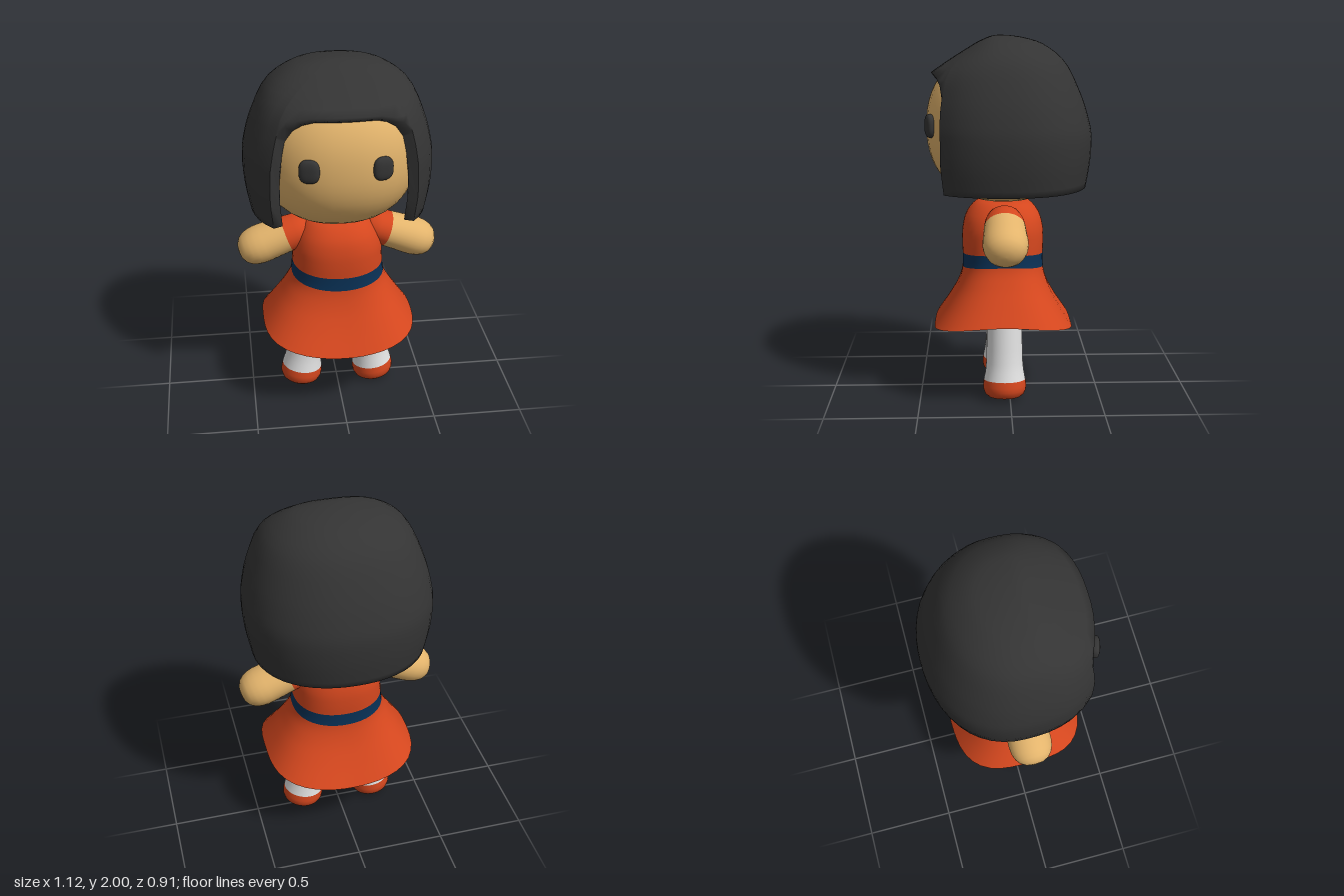
import * as THREE from 'three';
import { mergeVertices } from 'three/addons/utils/BufferGeometryUtils.js';

const MID_Z = 0.035; // the body axis sits a little forward of the origin

// Smooth surface from a grid of points: i runs counterclockwise from the front, j runs downwards
function grid(cols, rows, point) {
  const positions = [], index = [];
  for (let j = 0; j <= rows; j++) {
    for (let i = 0; i <= cols; i++) positions.push(...point(i, j));
  }
  for (let j = 0; j < rows; j++) {
    for (let i = 0; i < cols; i++) {
      const a = j * (cols + 1) + i, b = a + cols + 1;
      index.push(a, b, a + 1, b, b + 1, a + 1);
    }
  }
  let g = new THREE.BufferGeometry();
  g.setAttribute('position', new THREE.Float32BufferAttribute(positions, 3));
  g.setIndex(index);
  g = mergeVertices(g, 1e-5);
  g.computeVertexNormals();
  return g;
}

// Point of a rounded-square outline with half sizes a and b, at an angle from the front
function outline(angle, a, b, n) {
  const s = Math.sin(angle), c = Math.cos(angle);
  const r = 1 / Math.pow(Math.pow(Math.abs(s / a), n) + Math.pow(Math.abs(c / b), n), 1 / n);
  return [r * s, r * c];
}

// Parameter at which a descending curve reaches height y
function atHeight(curve, y) {
  let lo = 0, hi = 1;
  for (let k = 0; k < 30; k++) {
    const m = (lo + hi) / 2;
    if (curve.getPoint(m).y > y) lo = m; else hi = m;
  }
  return (lo + hi) / 2;
}

// Ellipsoid with squarer shoulders as n grows above 2
function softEllipsoid(a, b, c, n) {
  const g = new THREE.SphereGeometry(1, 40, 28);
  const p = g.attributes.position, normal = g.attributes.normal;
  const v = new THREE.Vector3();
  const power = (x) => Math.sign(x) * Math.pow(Math.abs(x), n - 1);
  for (let i = 0; i < p.count; i++) {
    v.fromBufferAttribute(p, i);
    v.divideScalar(Math.pow(Math.abs(v.x) ** n + Math.abs(v.y) ** n + Math.abs(v.z) ** n, 1 / n));
    p.setXYZ(i, v.x * a, v.y * b, v.z * c);
    v.set(power(v.x) / a, power(v.y) / b, power(v.z) / c).normalize();
    normal.setXYZ(i, v.x, v.y, v.z);
  }
  return g;
}

// Bobbed hair: a thick shell whose hem rises into a fringe over the face
function hairGeometry() {
  const profile = new THREE.SplineCurve([
    [0, 2], [0.12, 1.998], [0.3, 1.985], [0.52, 1.95], [0.755, 1.855], [0.905, 1.69],
    [0.975, 1.56], [1, 1.46], [0.985, 1.32], [0.935, 1.18],
  ].map(([x, y]) => new THREE.Vector2(x, y)));

  // Angle from the front and hem height, for one half
  const half = [[0.15, 1.8], [0.3, 1.8], [0.46, 1.797], [0.6, 1.78], [0.72, 1.745], [0.79, 1.69],
    [0.8, 1.68], [0.802, 1.6], [0.804, 1.46], [0.806, 1.32], [0.81, 1.18]];
  for (let k = 1; k <= 18; k++) half.push([0.81 + (Math.PI - 0.81) * k / 18, 1.18]);
  const hem = [...half.map(([a, y]) => [-a, y]).reverse(), [0, 1.8], ...half]
    .map(([a, y]) => [a, y <= 1.18 ? 1 : atHeight(profile, y)]);

  // Outer rows run down to the hem, then inner rows run back up to the crown
  const rows = 28;
  return grid(hem.length - 1, rows * 2 + 1, (i, j) => {
    const inner = j > rows;
    const [angle, end] = hem[i];
    const p = profile.getPoint(Math.min((inner ? rows * 2 + 1 - j : j) / rows, end));
    const front = Math.cos(angle) > 0;
    // The front flattens towards the crown and keeps its depth towards the hem
    const depth = front
      ? Math.max(0.25, 0.48 - 1.3 * Math.max(0, p.y - 1.8) + 0.1 * Math.max(0, 1.46 - p.y))
      : 0.455;
    const [x, z] = outline(angle, 0.51, depth, front ? 2.5 : 2.2);
    const lean = 0.05 * Math.max(0, (p.y - 1.46) / 0.54);
    return [
      x * p.x * (inner ? 0.87 : 1),
      p.y - (inner ? 0.04 * (p.y - 1.18) / 0.82 : 0),
      z * p.x * (inner ? 0.94 : 1) + lean,
    ];
  });
}

// Dress profile: half width, height and half depth
const dressProfile = new THREE.CatmullRomCurve3([
  [0, 1.105, 0], [0.1, 1.1, 0.08], [0.165, 1.083, 0.15], [0.217, 1.02, 0.205], [0.243, 0.95, 0.225],
  [0.25, 0.88, 0.228], [0.255, 0.81, 0.225], [0.264, 0.74, 0.229], [0.304, 0.66, 0.257],
  [0.362, 0.57, 0.312], [0.43, 0.47, 0.387],
].map((p) => new THREE.Vector3(...p)));

// Band of the dress between two heights; it droops at the front and back
function dressBand(top, bottom, rows) {
  const u0 = top === null ? 0 : atHeight(dressProfile, top);
  const u1 = bottom === null ? 1 : atHeight(dressProfile, bottom);
  return grid(48, rows, (i, j) => {
    const p = dressProfile.getPoint(u0 + (u1 - u0) * j / rows);
    const angle = (i % 48) / 48 * Math.PI * 2;
    const squareness = 2.4 + 0.6 * THREE.MathUtils.clamp((0.78 - p.y) / 0.31, 0, 1);
    const [x, z] = outline(angle, Math.max(p.x, 1e-4), Math.max(p.z, 1e-4), squareness);
    const droop = 0.085 * Math.pow(Math.max(0, 1 - (p.y - 0.47) / 0.63), 1.5);
    return [x, p.y - droop * Math.cos(angle) ** 2, z + MID_Z];
  });
}

// Turned limb piece from [radius, height] points, lowest first
function turned(points) {
  return new THREE.LatheGeometry(points.map(([r, y]) => new THREE.Vector2(r, y)), 32);
}

export function createModel() {
  const model = new THREE.Group();
  const material = (name, color, side = THREE.FrontSide) => {
    const m = new THREE.MeshStandardMaterial({ color, side });
    m.name = name;
    return m;
  };
  const skin = material('skin', 0xe3b46c);
  const dark = material('charcoal', 0x343434, THREE.DoubleSide);
  const red = material('orange red', 0xd5471e, THREE.DoubleSide);
  const navy = material('navy', 0x093156, THREE.DoubleSide);
  const white = material('white', 0xe0e0e0);

  const add = (name, geometry, mat, parent = model) => {
    const mesh = new THREE.Mesh(geometry, mat);
    mesh.name = name;
    parent.add(mesh);
    return mesh;
  };

  // Head and hair
  add('head', softEllipsoid(0.44, 0.42, 0.425, 2.25), skin).position.set(0, 1.51, 0.03);
  add('hair', hairGeometry(), dark);

  // Dress with a flush belt, closed inside at the waist
  add('bodice', dressBand(null, 0.825, 20), red);
  add('belt', dressBand(0.825, 0.757, 4), navy);
  add('skirt', dressBand(0.757, null, 14), red);
  const waist = add('waistUnderside', new THREE.CircleGeometry(1, 40), navy);
  waist.rotation.x = Math.PI / 2;
  waist.scale.set(0.25, 0.215, 1);
  waist.position.set(0, 0.725, MID_Z);

  for (const side of [1, -1]) {
    const label = side > 0 ? 'left' : 'right';

    // Eye
    const eye = add(label + 'Eye', softEllipsoid(0.054, 0.063, 0.026, 2.7), dark);
    eye.position.set(side * 0.188, 1.525, 0.427);
    eye.rotation.y = side * 0.25;

    // Arm, built along its own axis from the cuff outwards
    const arm = new THREE.Group();
    arm.name = label + 'Arm';
    arm.position.set(side * 0.28, 0.982, 0.03);
    arm.rotation.z = -side * (Math.PI / 2 + 0.35);
    arm.scale.z = 1.14;
    model.add(arm);
    add(label + 'Sleeve', turned([[0, -0.15], [0.05, -0.14], [0.08, -0.11], [0.093, -0.06], [0.099, 0]]), red, arm);
    add(label + 'Hand', turned([[0.099, 0], [0.102, 0.07], [0.106, 0.13], [0.106, 0.17], [0.101, 0.205],
      [0.09, 0.237], [0.072, 0.262], [0.045, 0.279], [0.02, 0.285], [0, 0.286]]), skin, arm);

    // Leg, leaning inwards towards the hip
    const leg = new THREE.Group();
    leg.name = label + 'Leg';
    leg.position.set(side * 0.22, 0.01, 0.03);
    leg.rotation.z = side * 0.12;
    model.add(leg);
    add(label + 'Shoe', turned([[0, 0], [0.06, 0.001], [0.09, 0.007], [0.108, 0.022], [0.118, 0.045],
      [0.12, 0.07], [0.116, 0.103]]), red, leg);
    add(label + 'Stocking', turned([[0.116, 0.103], [0.107, 0.15], [0.102, 0.2], [0.1, 0.27],
      [0.098, 0.4], [0.096, 0.72]]), white, leg);
    add(label + 'ShortsCuff', turned([[0.09, 0.545], [0.134, 0.552], [0.142, 0.575], [0.135, 0.61], [0.09, 0.64]]), red, leg);
  }
  return model;
}
